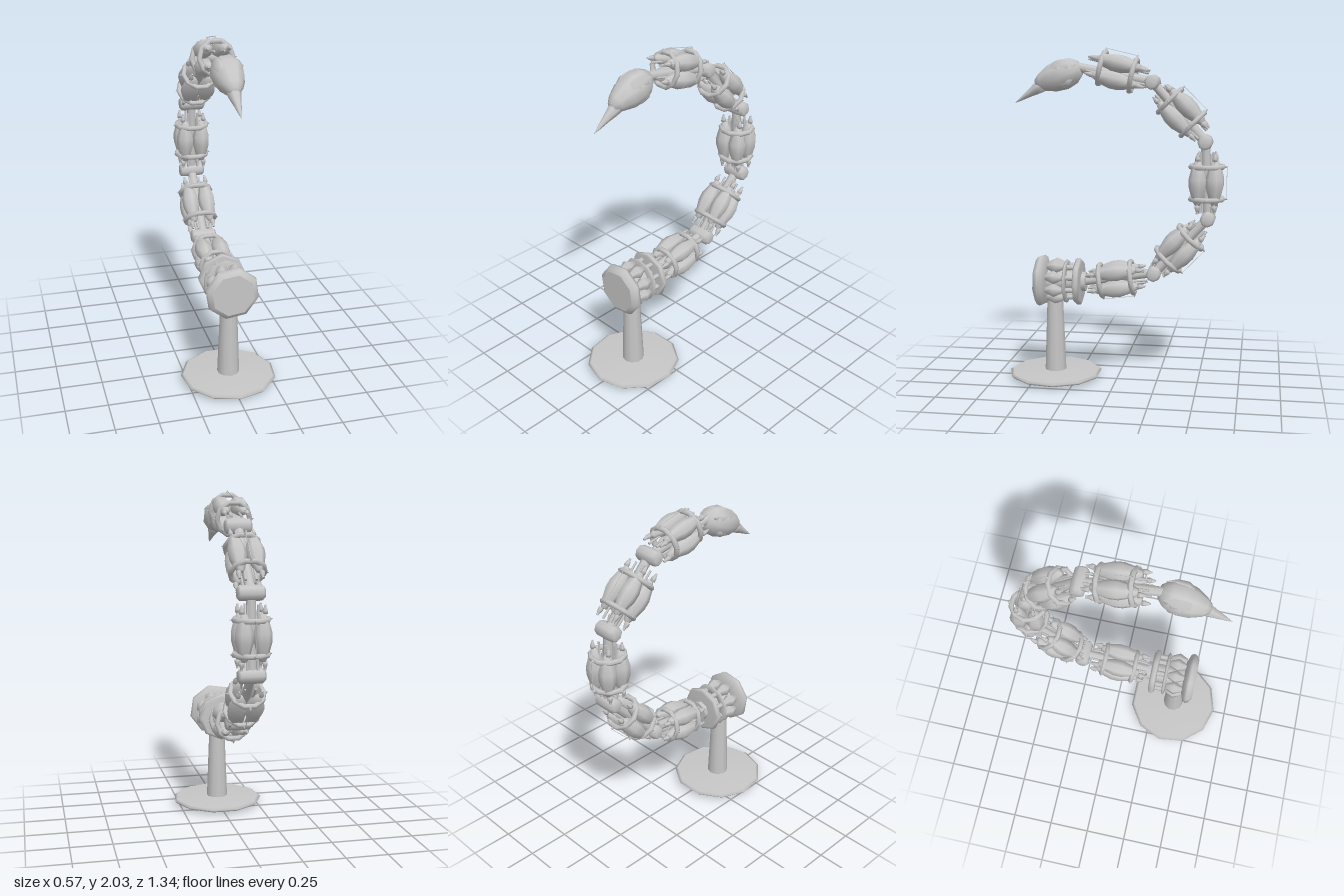
import * as THREE from 'three';

export function createModel() {
  const metal = new THREE.MeshStandardMaterial({ color: 0xc6c6c6 });
  metal.name = 'grey metal';
  const root = new THREE.Group();
  root.name = 'segmentedTail';

  const add = (parent, name, geo, x = 0, y = 0, z = 0) => {
    const m = new THREE.Mesh(geo, metal);
    m.name = name;
    m.position.set(x, y, z);
    parent.add(m);
    return m;
  };
  const lathe = (pts, sides) =>
    new THREE.LatheGeometry(pts.map(([r, y]) => new THREE.Vector2(r, y)), sides);
  // Group at (z, y) whose local y axis follows the direction (dz, dy); local z faces the inside of the curl
  const frame = (name, z, y, dz, dy) => {
    const g = new THREE.Group();
    g.name = name;
    g.position.set(0, y, z);
    g.rotation.x = Math.atan2(dz, dy);
    root.add(g);
    return g;
  };

  // Stand: thin many-sided foot and tapered post
  add(root, 'foot', lathe([[0, 0], [0.2, 0.004], [0.275, 0.018], [0.288, 0.032], [0.27, 0.044], [0, 0.052]], 11), 0, 0, 0.385);
  add(root, 'post', new THREE.CylinderGeometry(0.045, 0.067, 0.58, 10), 0, 0.33, 0.385);

  // Mount: front plate, ring of knobs, two collars and a core, all along -z
  const mount = frame('mount', 0.5, 0.61, -1, 0);
  const plate = lathe([[0, 0], [0.13, 0], [0.13, 0], [0.155, 0.015], [0.165, 0.035], [0.155, 0.055], [0.1, 0.075], [0, 0.075]], 8);
  add(mount, 'frontPlate', plate).rotation.y = 0.25;
  add(mount, 'mountCore', new THREE.CylinderGeometry(0.06, 0.075, 0.26, 8), 0, 0.18, 0);
  const knob = lathe([[0, -0.055], [0.018, -0.05], [0.042, 0], [0.018, 0.05], [0, 0.055]], 6);
  const stud = new THREE.CylinderGeometry(0.016, 0.016, 0.09, 6);
  for (let i = 0; i < 8; i++) {
    const a = (i + 0.5) * Math.PI / 4, c = Math.cos(a), s = Math.sin(a);
    add(mount, 'mountKnob', knob, 0.104 * c, 0.125, 0.104 * s);
    add(mount, 'mountStud', stud, 0.1 * c, 0.225, 0.1 * s);
  }
  add(mount, 'thinCollar', lathe([[0.09, 0.18], [0.125, 0.18], [0.138, 0.19], [0.125, 0.2], [0.09, 0.2], [0.09, 0.18]], 10));
  add(mount, 'thickCollar', lathe([[0, 0.245], [0.135, 0.245], [0.147, 0.255], [0.147, 0.275], [0.13, 0.285], [0, 0.285]], 8));

  // Bones and hinge blocks, joints given as [z, y]
  const joints = [[0.24, 0.61], [-0.23, 0.68], [-0.55, 1.02], [-0.53, 1.475], [-0.215, 1.825], [0.25, 1.915]];
  for (let i = 0; i < 5; i++) {
    const [z0, y0] = joints[i], [z1, y1] = joints[i + 1];
    const dz = z1 - z0, dy = y1 - y0;
    const bone = frame('bone', (z0 + z1) / 2, (y0 + y1) / 2, dz, dy);
    add(bone, 'shaft', new THREE.CylinderGeometry(0.028, 0.03, Math.hypot(dz, dy), 8));
    if (i === 0) continue;
    const hinge = frame('hinge', z0, y0, dz, dy);
    const block = lathe([[0, -0.078], [0.03, -0.078], [0.044, -0.065], [0.046, 0], [0.044, 0.065], [0.03, 0.078], [0, 0.078]], 8);
    add(hinge, 'hingeBlock', block).rotation.z = Math.PI / 2;
  }

  // Muscle bundles: four spindles, two bands, end pistons, back spikes and a thin cord
  const spindle = lathe([[0, -0.135], [0.018, -0.13], [0.035, -0.09], [0.053, -0.025], [0.054, 0.025], [0.037, 0.09], [0.018, 0.13], [0, 0.135]], 7);
  const band = new THREE.TorusGeometry(0.098, 0.016, 6, 10).rotateX(Math.PI / 2);
  const rod = new THREE.CylinderGeometry(0.006, 0.008, 0.1, 6);
  const cap = lathe([[0, -0.018], [0.015, -0.016], [0.015, 0], [0.006, 0.026], [0, 0.028]], 6);
  const bundles = [
    [0, 0.635, -0.19, 0.025], [-0.38, 0.835, -0.14, 0.145], [-0.54, 1.235, 0, 0.2],
    [-0.385, 1.648, 0.125, 0.125], [-0.005, 1.885, 0.19, 0.045],
  ];
  for (const [z, y, dz, dy] of bundles) {
    const g = frame('muscleBundle', z, y, dz, dy);
    for (const sx of [-1, 1]) for (const sz of [-1, 1]) {
      add(g, 'muscle', spindle, 0.052 * sx, 0, 0.05 * sz);
      for (const e of [-1, 1]) {
        add(g, 'pistonRod', rod, 0.066 * sx, 0.13 * e, 0.05 * sz);
        add(g, 'pistonCap', cap, 0.066 * sx, 0.148 * e, 0.05 * sz).rotation.x = e < 0 ? Math.PI : 0;
        add(g, 'innerRod', rod, 0.03 * sx, 0.13 * e, 0.035 * sz);
      }
    }
    for (const e of [-1, 1]) {
      add(g, 'band', band, 0, 0.096 * e, 0);
      add(g, 'backSpike', new THREE.ConeGeometry(0.014, 0.03, 5), 0, 0.096 * e, -0.112).rotation.x = -Math.PI / 2;
      for (const s of [-1, 1])
        add(g, 'sideSpike', new THREE.ConeGeometry(0.014, 0.03, 5), 0.108 * s, 0.096 * e, 0).rotation.z = -s * Math.PI / 2;
    }
    add(g, 'cord', new THREE.BoxGeometry(0.003, 0.19, 0.003), 0, 0, -0.119);
  }

  // Head: faceted bulb with cheek plates and a hooked sting
  const head = frame('head', 0.22, 1.91, 0.27, -0.1);
  add(head, 'bulb', lathe([[0, 0], [0.045, 0], [0.08, 0.045], [0.094, 0.11], [0.084, 0.18], [0.055, 0.25], [0.03, 0.285], [0, 0.29]], 9));
  for (const s of [-1, 1]) {
    const cheek = add(head, 'cheekPlate', lathe([[0, 0], [0.04, 0.05], [0.055, 0.11], [0.03, 0.19], [0, 0.25]], 6), 0.055 * s, 0.01, -0.025);
    cheek.scale.set(0.8, 1, 1.1);
    cheek.rotation.z = s * 0.1;
    const jaw = add(head, 'jawPlate', lathe([[0, 0], [0.035, 0.05], [0.04, 0.1], [0, 0.22]], 6), 0.045 * s, 0.03, 0.045);
    jaw.rotation.z = s * 0.1;
  }
  const sting = frame('sting', 0.44, 1.815, 0.18, -0.115);
  add(sting, 'stingTip', lathe([[0, 0], [0.045, 0], [0.034, 0.06], [0.022, 0.11], [0.01, 0.175], [0, 0.216]], 7));
  return root;
}
